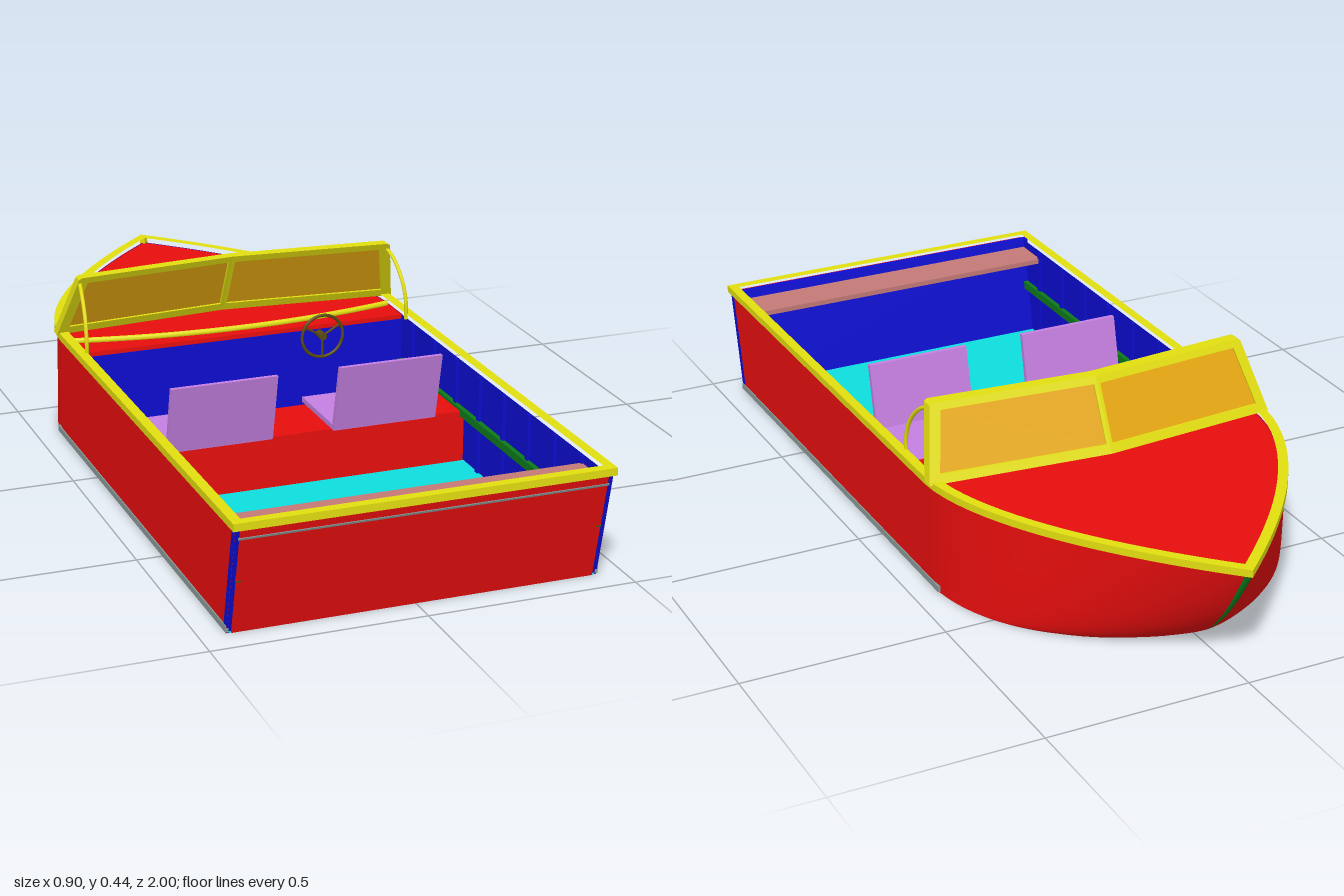
import * as THREE from 'three';

const RED = 0xe80e0e, BLUE = 0x0c0cd0, CYAN = 0x0edede, YELLOW = 0xe2de10, GLASS = 0xe6a80f;
const PURPLE = 0xc47fe0, PINK = 0xc47a78, GREEN = 0x0c7a1a, GREY = 0x8a9a98;
const H = 0.265, HALF = 0.438;
const lerp = THREE.MathUtils.lerp;

function add(parent, name, geometry, color, side = THREE.FrontSide) {
  const mesh = new THREE.Mesh(geometry, new THREE.MeshStandardMaterial({ color, side }));
  mesh.name = name;
  parent.add(mesh);
  return mesh;
}

function box(parent, name, color, [x0, x1], [y0, y1], [z0, z1]) {
  const g = new THREE.BoxGeometry(x1 - x0, y1 - y0, z1 - z0);
  g.translate((x0 + x1) / 2, (y0 + y1) / 2, (z0 + z1) / 2);
  return add(parent, name, g, color);
}

// Plan outline of half the hull at height fraction v, from stern to bow
const sternZ = v => 0.93 + 0.06 * v;
const bowZ = v => -0.72 - 0.27 * Math.pow(v, 0.55);
function halfOutline(v, inset = 0, startZ = sternZ(v)) {
  const e = Math.pow(v, 0.55), bend = -0.28, tip = bowZ(v) + inset * 1.3, pts = [];
  for (let i = 0; i < 4; i++) pts.push(new THREE.Vector2(HALF - inset, lerp(startZ, bend, i / 4)));
  for (let i = 0; i <= 28; i++) {
    const u = Math.sin((i / 28) * Math.PI / 2);
    const w = Math.pow(Math.max(0, 1 - Math.pow(u, lerp(2, 1.7, e))), lerp(0.5, 1, e));
    pts.push(new THREE.Vector2(i === 28 ? 0 : (HALF - inset) * w, lerp(bend, tip, u)));
  }
  return pts;
}
function fullOutline(...args) {
  const half = halfOutline(...args);
  return half.concat(half.slice(0, -1).reverse().map(p => new THREE.Vector2(-p.x, p.y)));
}

// Moves a closed outline outward along mitred normals
function offset(pts, d) {
  const n = pts.length;
  return pts.map((p, i) => {
    const normal = (a, b) => new THREE.Vector2(a.y - b.y, b.x - a.x).normalize().negate();
    const n1 = normal(pts[(i + n - 1) % n], p).negate();
    const n2 = normal(p, pts[(i + 1) % n]).negate();
    const m = n1.clone().add(n2).normalize();
    return p.clone().addScaledVector(m, d / Math.max(0.4, m.dot(n1)));
  });
}

// Horizontal slab from a plan outline
function slab(pts, top, depth, hole) {
  const shape = new THREE.Shape(pts);
  if (hole) shape.holes.push(new THREE.Path(hole));
  const g = new THREE.ExtrudeGeometry(shape, { depth, bevelEnabled: false });
  return g.rotateX(Math.PI / 2).translate(0, top, 0);
}

// Side profile of [z, y] points swept across x
function profileX(points, x0, x1) {
  const shape = new THREE.Shape(points.map(p => new THREE.Vector2(...p)));
  const g = new THREE.ExtrudeGeometry(shape, { depth: x1 - x0, bevelEnabled: false });
  return g.rotateY(-Math.PI / 2).translate(x1, 0, 0);
}

// One side of the hull, lofted through plan outlines
function hullSide(inset, inward) {
  const rows = 14, pos = [], idx = [];
  let n = 0;
  for (let j = 0; j <= rows; j++) {
    const v = Math.pow(j / rows, 1.6);
    const line = halfOutline(v, inset);
    n = line.length;
    line.forEach(p => pos.push(p.x, v * H, p.y));
  }
  for (let j = 0; j < rows; j++) for (let i = 0; i < n - 1; i++) {
    const a = j * n + i, b = a + 1, c = b + n, d = a + n;
    if (inward) idx.push(a, c, b, a, d, c);
    else idx.push(a, b, c, a, c, d);
  }
  const g = new THREE.BufferGeometry();
  g.setAttribute('position', new THREE.Float32BufferAttribute(pos, 3));
  g.setIndex(idx);
  g.computeVertexNormals();
  return g;
}

// Half of the raked, swept windshield: a flat panel sheared in z
function windshieldPanel(outer, hole, depth, back) {
  const shape = new THREE.Shape(outer.map(p => new THREE.Vector2(...p)));
  if (hole) shape.holes.push(new THREE.Path(hole.map(p => new THREE.Vector2(...p))));
  const g = new THREE.ExtrudeGeometry(shape, { depth, bevelEnabled: false });
  const p = g.attributes.position;
  for (let i = 0; i < p.count; i++) {
    p.setZ(i, p.getZ(i) + back + 0.089 * p.getX(i) + 0.5 * (p.getY(i) - 0.275));
  }
  g.computeVertexNormals();
  return g;
}

function tube(points, radius, segments = 24) {
  const curve = new THREE.CatmullRomCurve3(points.map(p => new THREE.Vector3(...p)));
  return new THREE.TubeGeometry(curve, segments, radius, 8);
}

function createSide(sign) {
  const side = new THREE.Group();
  side.name = sign > 0 ? 'leftSide' : 'rightSide';
  side.scale.x = sign;

  // Shell, chine strip and inner framing
  add(side, 'hullOuter', hullSide(0, false), RED);
  add(side, 'hullLining', hullSide(0.011, true), BLUE);
  box(side, 'chineStrip', GREY, [0.434, 0.441], [0.003, 0.018], [-0.33, 0.932]);
  box(side, 'stringer', GREEN, [0.415, 0.428], [0.13, 0.15], [-0.15, 0.962]);
  for (let i = 0; i < 8; i++) {
    const z = -0.08 + i * 0.135;
    box(side, 'rib', BLUE, [0.42, 0.43], [0.015, 0.262], [z - 0.006, z + 0.006]);
  }

  // Windshield half with its brace
  const outer = [[0, 0.275], [0.45, 0.275], [0.412, 0.437], [0.405, 0.442], [0, 0.442]];
  const pane = [[0.008, 0.295], [0.42, 0.295], [0.388, 0.425], [0.008, 0.425]];
  add(side, 'windshieldFrame', windshieldPanel(outer, pane, 0.03, -0.355), YELLOW);
  add(side, 'windshieldPane', windshieldPanel(pane, null, 0.016, -0.35), GLASS);
  add(side, 'windshieldBrace', tube([[0.405, 0.432, -0.235], [0.413, 0.408, -0.185],
    [0.419, 0.36, -0.14], [0.422, 0.31, -0.122], [0.422, 0.265, -0.122]], 0.005), YELLOW);

  // Seat
  box(side, 'seatCushion', PURPLE, [0.078, 0.342], [0.143, 0.156], [0.04, 0.25]);
  add(side, 'seatBack', profileX([[0.238, 0.145], [0.252, 0.145], [0.288, 0.315], [0.276, 0.315]],
    0.078, 0.342), PURPLE);
  return side;
}

function createSteeringWheel() {
  const wheel = new THREE.Group();
  wheel.name = 'steeringWheel';
  add(wheel, 'wheelRim', new THREE.TorusGeometry(0.055, 0.004, 8, 32), 0x5a4a10);
  add(wheel, 'wheelHub', new THREE.CylinderGeometry(0.01, 0.01, 0.03, 12)
    .rotateX(Math.PI / 2).translate(0, 0, -0.008), 0x5a4a10);
  for (let i = 0; i < 3; i++) {
    const spoke = new THREE.CylinderGeometry(0.003, 0.003, 0.055, 6).translate(0, 0.0275, 0);
    add(wheel, 'wheelSpoke', spoke.rotateZ(Math.PI + i * Math.PI * 2 / 3), 0x5a4a10);
  }
  wheel.position.set(0.2, 0.242, -0.135);
  return wheel;
}

export function createModel() {
  const boat = new THREE.Group();
  boat.name = 'motorboat';
  boat.add(createSide(1), createSide(-1));

  // Floor, deck, bulkhead and gunwale
  add(boat, 'floor', slab(fullOutline(0, 0.005), 0.014, 0.014), CYAN);
  add(boat, 'foredeck', slab(fullOutline(1, 0.008, -0.16), 0.264, 0.012), RED);
  box(boat, 'bulkhead', BLUE, [-0.427, 0.427], [0.012, 0.253], [-0.167, -0.158]);
  const rim = fullOutline(1);
  add(boat, 'gunwale', slab(offset(rim, 0.007), 0.28, 0.018, offset(rim, -0.017)), YELLOW);

  // Curved trim across the deck
  const arc = [];
  for (let i = 0; i <= 16; i++) {
    const x = -0.42 + 0.84 * i / 16;
    arc.push([x, 0.268, -0.195 - 0.05 * (x / 0.42) ** 2]);
  }
  add(boat, 'deckTrim', tube(arc, 0.008, 40), YELLOW);

  // Raked transom
  add(boat, 'transom', profileX([[0.912, 0], [0.929, 0], [0.989, H], [0.972, H]], -0.439, 0.439), BLUE);
  add(boat, 'transomPanel', profileX([[0.928, 0], [0.932, 0], [0.992, H], [0.988, H]], -0.427, 0.427), RED);
  add(boat, 'transomStrip', profileX([[0.98, 0.237], [0.988, 0.237], [0.99, 0.242], [0.98, 0.242]],
    -0.43, 0.43), GREY);

  // Stem along the bow
  const stem = [];
  for (let i = 0; i <= 12; i++) {
    const v = (i / 12) ** 1.8;
    stem.push([0, 0.008 + v * 0.257, bowZ(v) + 0.004]);
  }
  add(boat, 'stem', tube(stem, 0.008, 30), GREEN);

  // Seat base, rear shelf and helm
  box(boat, 'seatBase', RED, [-0.425, 0.425], [0.012, 0.143], [0.06, 0.237]);
  box(boat, 'rearShelf', PINK, [-0.425, 0.425], [0.232, 0.245], [0.865, 0.972]);
  boat.add(createSteeringWheel());
  return boat;
}
